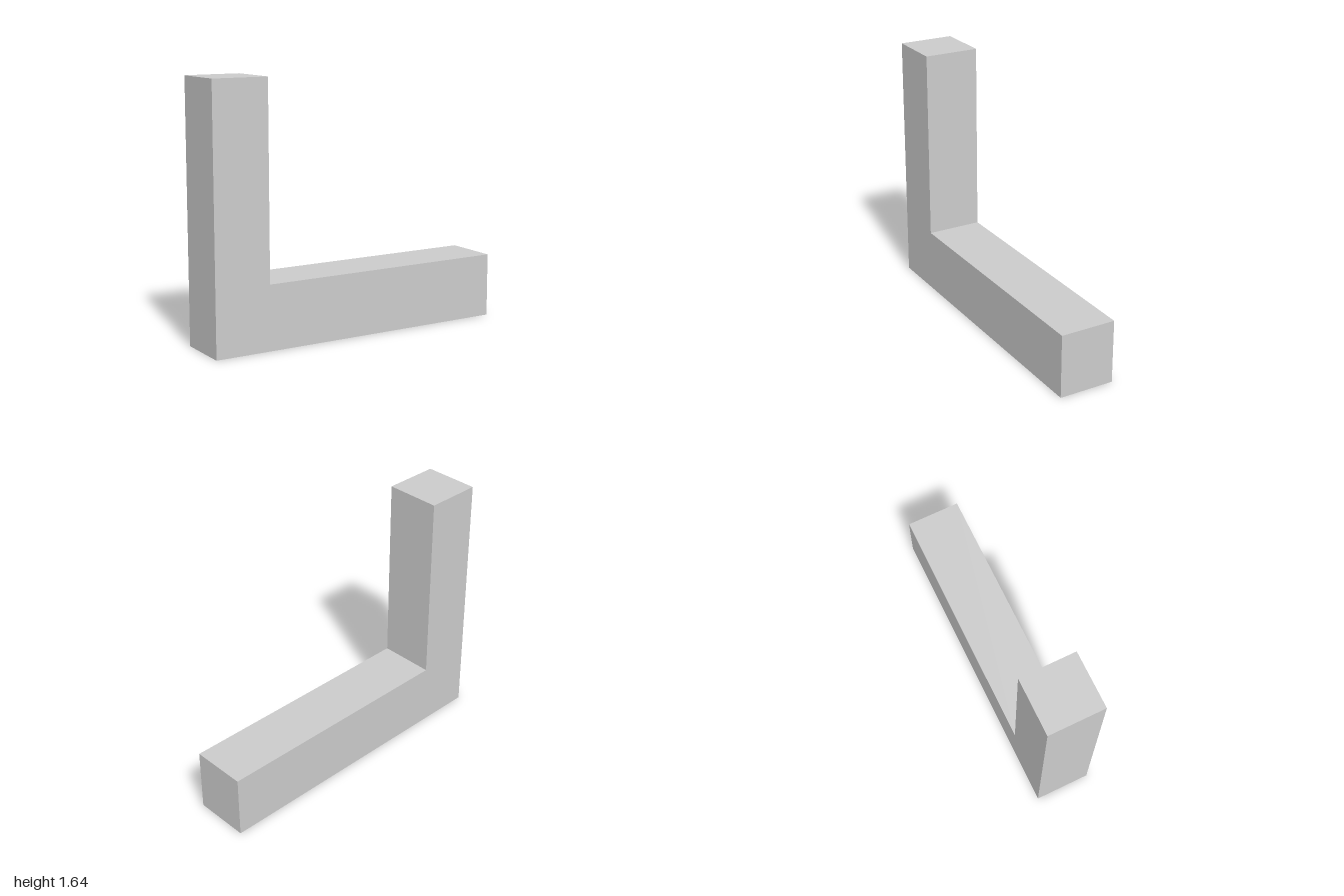
import * as THREE from 'three';

export function createModel() {
  const group = new THREE.Group();
  const depth = 0.36;

  // L-shaped outline: upright post on the model's right, long foot along x
  const outline = new THREE.Shape([
    [-1, 0], [1, 0], [1, 0.41], [-0.64, 0.41], [-0.64, 1.64], [-1, 1.64],
  ].map(([x, y]) => new THREE.Vector2(x, y)));

  // One solid body, centred in depth
  const geometry = new THREE.ExtrudeGeometry(outline, { depth, bevelEnabled: false });
  geometry.translate(0, 0, -depth / 2);

  const body = new THREE.Mesh(
    geometry,
    new THREE.MeshStandardMaterial({ color: 0xcccccc, flatShading: true }),
  );
  body.name = 'lShapedBody';
  group.add(body);
  return group;
}
